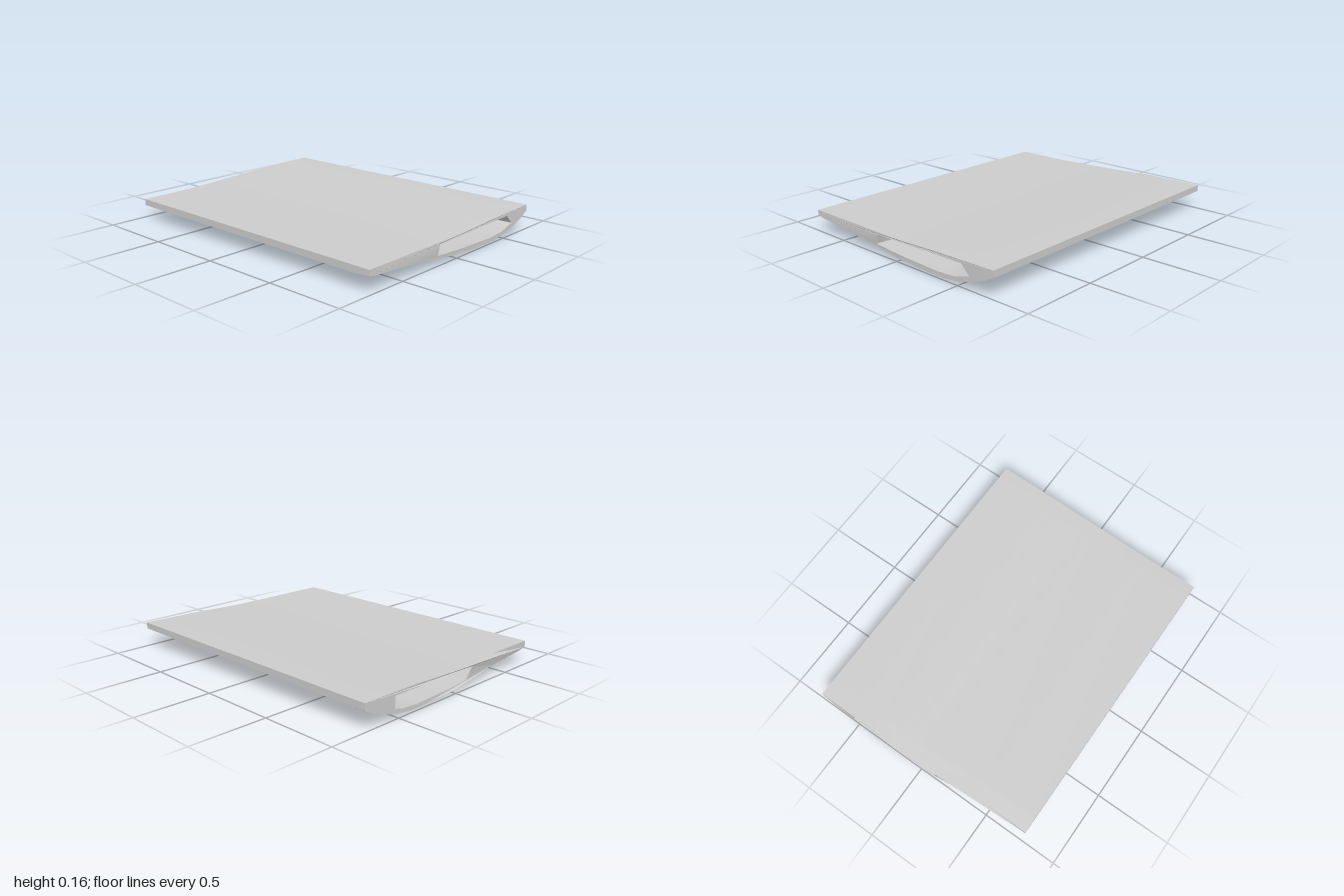
import * as THREE from 'three';
import { toCreasedNormals } from 'three/addons/utils/BufferGeometryUtils.js';

// Outer section, counterclockwise: x, then y at the front end, along the span, at the back end
const OUTER = [
  [-0.765, 0.1, 0.093, 0.095], [-0.7, 0.09, 0.081, 0.083], [-0.4, 0.066, 0.056, 0.059],
  [-0.2, 0.045, 0.039, 0.042], [0, 0.024, 0.021, 0.026], [0.15, 0.014, 0.006, 0.016],
  [0.28, 0.011, 0, 0.014], [0.39, 0.012, 0.005, 0.015], [0.5, 0.026, 0.023, 0.028],
  [0.61, 0.052, 0.049, 0.053], [0.7, 0.086, 0.083, 0.086], [0.765, 0.122, 0.12, 0.122],
  [0.765, 0.162, 0.162, 0.162], [0.35, 0.153, 0.157, 0.158], [0.15, 0.143, 0.145, 0.146],
  [0, 0.137, 0.138, 0.139], [-0.4, 0.135, 0.136, 0.136], [-0.765, 0.134, 0.135, 0.135],
];
// Through opening, clockwise: x and y at the front end, x and y at the back end
const HOLE = [
  [-0.18, 0.06, -0.1, 0.056], [-0.165, 0.122, -0.165, 0.122], [0.12, 0.128, 0.12, 0.128],
  [0.25, 0.133, 0.25, 0.133], [0.53, 0.137, 0.53, 0.137], [0.59, 0.08, 0.53, 0.062],
  [0.48, 0.047, 0.47, 0.048], [0.35, 0.039, 0.35, 0.039], [0.05, 0.047, 0.05, 0.048],
];
const STATIONS = [0, 0.05, 0.95, 1];

// The back edge sweeps forward towards the thin side
function spanZ(x, t) {
  const sweep = THREE.MathUtils.smoothstep(-x, 0, 0.42);
  return THREE.MathUtils.lerp(1 - 0.008 * sweep, -1 + 0.038 * sweep, t);
}

function outerRing(s) {
  const column = s === 0 ? 1 : s === STATIONS.length - 1 ? 3 : 2;
  return OUTER.map(p => new THREE.Vector3(p[0], p[column], spanZ(p[0], STATIONS[s])));
}

function holeRing(s) {
  const t = STATIONS[s];
  return HOLE.map(([fx, fy, bx, by]) => {
    const x = THREE.MathUtils.lerp(fx, bx, t);
    return new THREE.Vector3(x, THREE.MathUtils.lerp(fy, by, t), spanZ(x, t));
  });
}

function geometryFrom(points) {
  return toCreasedNormals(new THREE.BufferGeometry().setFromPoints(points), 0.35);
}

// Skin joining successive rings from front to back
function loft(ringAt) {
  const out = [];
  for (let s = 0; s < STATIONS.length - 1; s++) {
    const a = ringAt(s), b = ringAt(s + 1);
    a.forEach((p, i) => {
      const j = (i + 1) % a.length;
      out.push(p, b[j], a[j], p, b[i], b[j]);
    });
  }
  return geometryFrom(out);
}

// End face pierced by the opening
function cap(s, flip) {
  const outer = outerRing(s), hole = holeRing(s);
  const all = [...outer, ...hole];
  const flat = ring => ring.map(p => new THREE.Vector2(p.x, p.y));
  const out = [];
  for (const [a, b, c] of THREE.ShapeUtils.triangulateShape(flat(outer), [flat(hole)])) {
    out.push(all[a], all[flip ? c : b], all[flip ? b : c]);
  }
  return geometryFrom(out);
}

export function createModel() {
  const group = new THREE.Group();
  group.name = 'hollowPanel';
  const material = new THREE.MeshStandardMaterial({ color: 0xcccccc, side: THREE.DoubleSide });
  const add = (name, geometry) => {
    const mesh = new THREE.Mesh(geometry, material);
    mesh.name = name;
    group.add(mesh);
  };
  add('outerSkin', loft(outerRing));
  add('innerChannel', loft(holeRing));
  add('frontEnd', cap(0, false));
  add('backEnd', cap(STATIONS.length - 1, true));
  return group;
}
